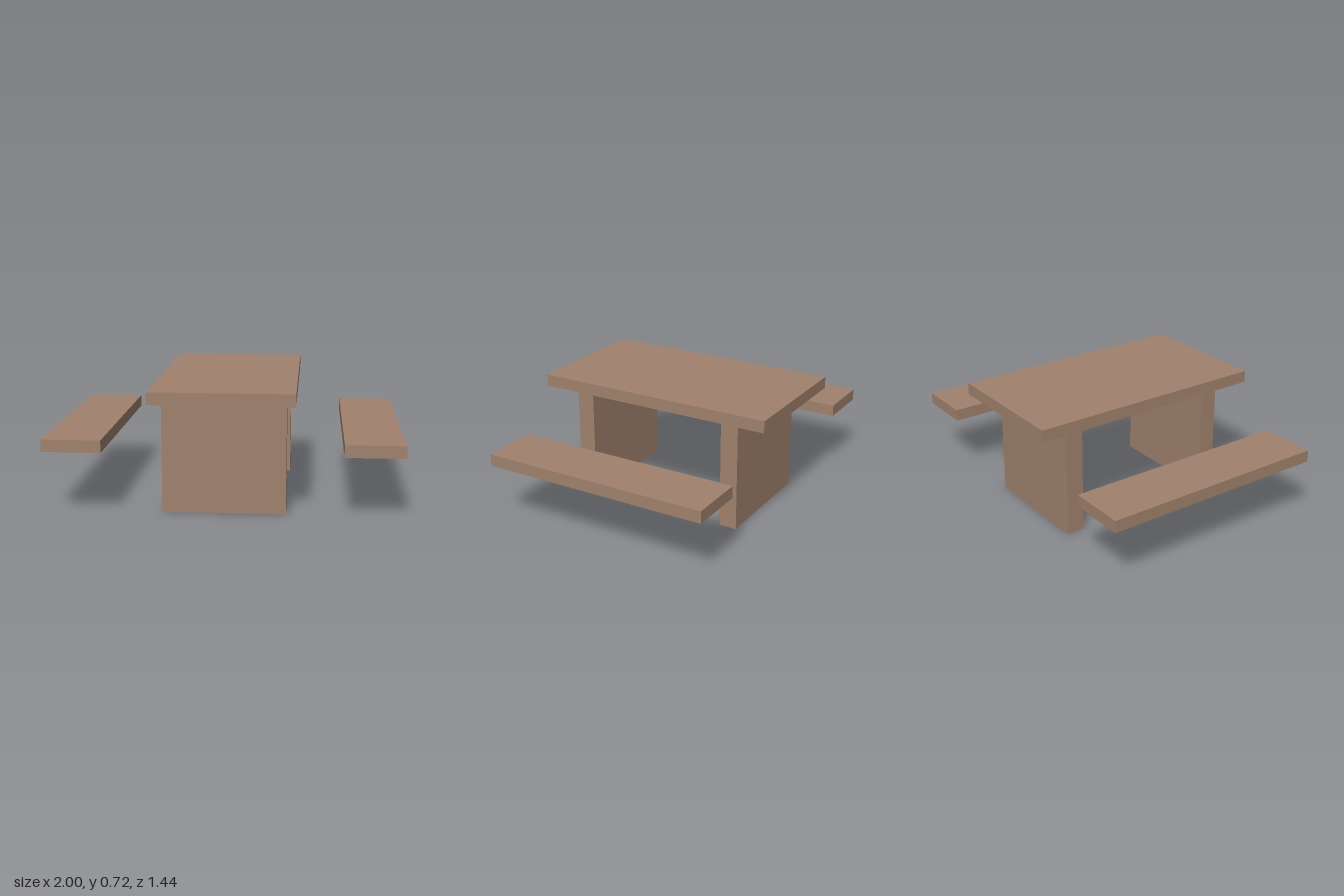
import * as THREE from 'three';

export function createModel() {
  const model = new THREE.Group();
  model.name = 'picnicTable';
  const wood = new THREE.MeshStandardMaterial({ color: 0xa0826d });
  wood.name = 'brown wood';

  // Box slab given its size, and its position with y at the underside
  const slab = (name, w, h, d, x, y, z) => {
    const mesh = new THREE.Mesh(new THREE.BoxGeometry(w, h, d), wood);
    mesh.name = name;
    mesh.position.set(x, y + h / 2, z);
    model.add(mesh);
  };

  slab('tableTop', 0.806, 0.07, 1.444, 0, 0.652, 0);

  // Panel legs at front and back
  slab('frontLeg', 0.70, 0.652, 0.106, 0, 0, 0.484);
  slab('backLeg', 0.70, 0.652, 0.106, 0, 0, -0.484);

  // Bench seats along both sides
  slab('leftBench', 0.334, 0.07, 1.356, 0.833, 0.371, 0);
  slab('rightBench', 0.334, 0.07, 1.356, -0.833, 0.371, 0);

  return model;
}
